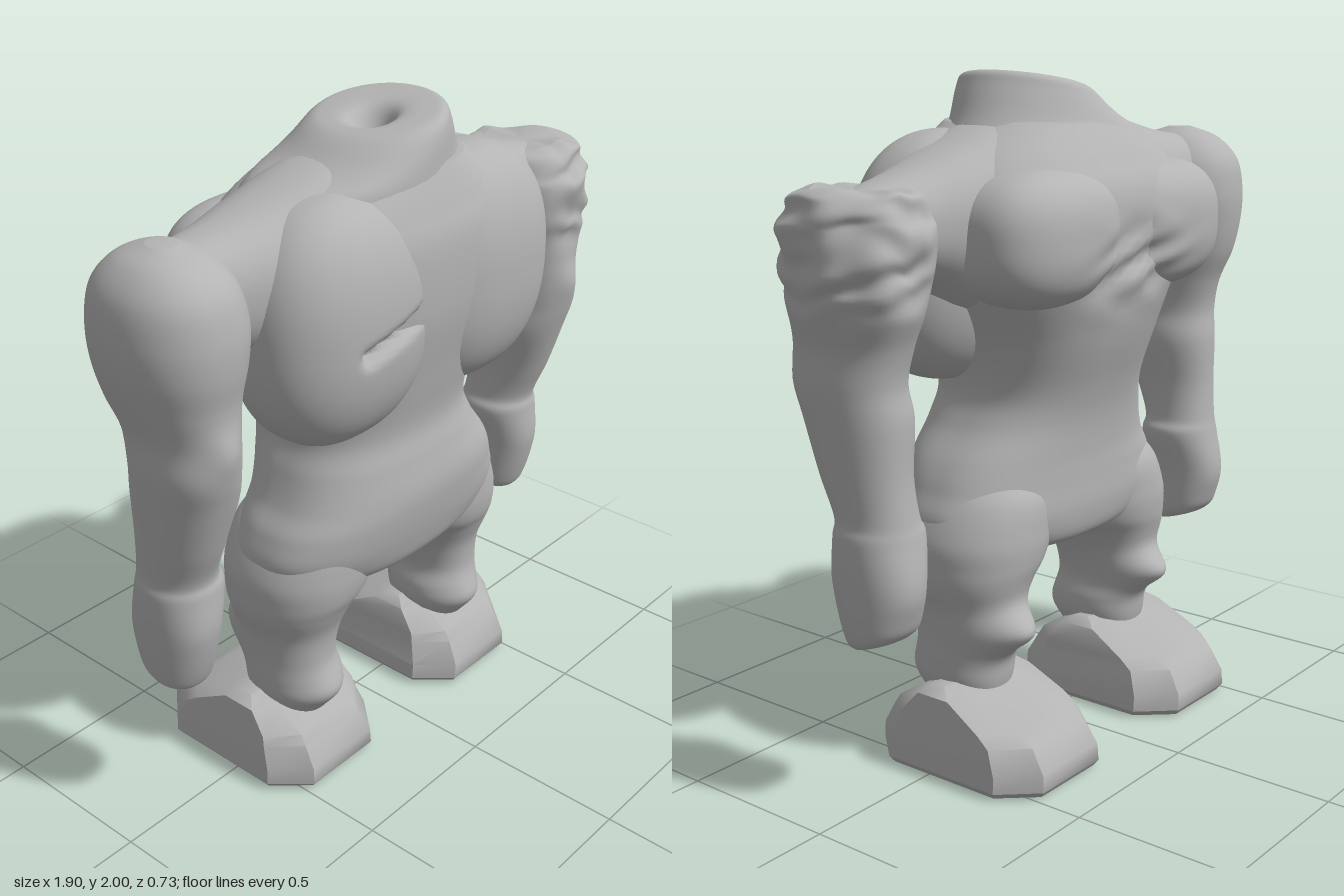
import * as THREE from 'three';
import { mergeVertices, toCreasedNormals } from 'three/addons/utils/BufferGeometryUtils.js';

const stone = new THREE.MeshStandardMaterial({ color: 0xb4b4b4 });
stone.name = 'grey stone';

// unit outline of a rounded-square cross-section
function roundRing(count, n) {
  return Array.from({ length: count }, (_, i) => {
    const a = (i / count) * Math.PI * 2, c = Math.cos(a), s = Math.sin(a);
    return [Math.sign(c) * Math.abs(c) ** (2 / n), Math.sign(s) * Math.abs(s) ** (2 / n)];
  });
}

// smooth interpolation between section rows
function refine(rows, steps) {
  const out = [];
  for (let i = 0; i < rows.length - 1; i++) {
    const [p, a, b, q] = [rows[Math.max(i - 1, 0)], rows[i], rows[i + 1], rows[Math.min(i + 2, rows.length - 1)]];
    for (let k = 0; k < steps; k++) {
      const t = k / steps;
      out.push(a.map((v, j) => {
        const m0 = (b[j] - p[j]) / 2, m1 = (q[j] - v) / 2;
        return v + m0 * t + (3 * (b[j] - v) - 2 * m0 - m1) * t * t + (2 * (v - b[j]) + m0 + m1) * t * t * t;
      }));
    }
  }
  out.push(rows[rows.length - 1]);
  return out;
}

// closed skin over sections [height, x0, x1, z0, z1]
function loft(rows, { steps = 5, ring = roundRing(48, 2.3), alongX = false } = {}) {
  const pos = [], idx = [], n = ring.length, all = refine(rows, steps);
  const put = (a, t, b) => (alongX ? pos.push(t, b, a) : pos.push(a, t, b));
  for (const [t, x0, x1, z0, z1] of all)
    for (const [c, s] of ring) put((x0 + x1) / 2 + (c * (x1 - x0)) / 2, t, (z0 + z1) / 2 + (s * (z1 - z0)) / 2);
  for (const [t, x0, x1, z0, z1] of [all[0], all[all.length - 1]]) put((x0 + x1) / 2, t, (z0 + z1) / 2);
  const last = (all.length - 1) * n, c0 = all.length * n;
  for (let j = 0; j < n; j++) {
    const k = (j + 1) % n;
    for (let i = 0; i < last; i += n) idx.push(i + j, i + n + j, i + k, i + k, i + n + j, i + n + k);
    idx.push(c0, j, k, c0 + 1, last + k, last + j);
  }
  const g = new THREE.BufferGeometry();
  g.setAttribute('position', new THREE.Float32BufferAttribute(pos, 3));
  g.setIndex(idx);
  g.computeVertexNormals();
  return g;
}

// superellipsoid lump
function blob(center, radii, n, detail) {
  let g = new THREE.SphereGeometry(1, detail, Math.round(detail * 0.7));
  g.deleteAttribute('uv');
  g.deleteAttribute('normal');
  g = mergeVertices(g);
  const c = new THREE.Vector3(...center), r = new THREE.Vector3(...radii);
  return reshape(g, (v) => {
    const k = (Math.abs(v.x) ** n + Math.abs(v.y) ** n + Math.abs(v.z) ** n) ** (-1 / n);
    v.multiplyScalar(k).multiply(r).add(c);
  });
}

// move every vertex by a rule
function reshape(g, rule) {
  const p = g.attributes.position, v = new THREE.Vector3();
  for (let i = 0; i < p.count; i++) {
    rule(v.fromBufferAttribute(p, i));
    p.setXYZ(i, v.x, v.y, v.z);
  }
  g.computeVertexNormals();
  return g;
}

const step = THREE.MathUtils.smoothstep;
const bell = (d, w) => Math.exp(-((d / w) ** 2));
const rough = (x, y, z) => Math.sin(x * 21 + 2 * Math.sin(y * 17)) * Math.sin(y * 37 + 2 * Math.sin(z * 15)) + 0.4 * Math.sin(z * 33 + x * 19);
const mirrorRow = (side) => ([t, a, b, c, d]) => (side > 0 ? [t, a, b, c, d] : [t, -b, -a, c, d]);

export function createModel() {
  const model = new THREE.Group();
  model.name = 'headlessFigure';
  const add = (name, geometry) => {
    const m = new THREE.Mesh(geometry, stone);
    m.name = name;
    model.add(m);
  };

  // broken, stepped patch on the -z side
  const breakPatch = (v) => {
    if (v.z > -0.1) return;
    const w = bell(v.x + 0.02, 0.17) * bell(v.y - 1.46, 0.1);
    v.z += w * (0.02 + 0.03 * rough(v.x, v.y, 0));
  };

  // torso from crotch to collar
  add('torso', reshape(loft([
    [0.605, -0.18, 0.18, -0.12, 0.2], [0.64, -0.38, 0.38, -0.17, 0.26], [0.72, -0.49, 0.49, -0.19, 0.29],
    [0.82, -0.47, 0.46, -0.19, 0.31], [0.9, -0.42, 0.42, -0.19, 0.315], [1, -0.38, 0.35, -0.2, 0.3],
    [1.1, -0.35, 0.32, -0.225, 0.285], [1.25, -0.38, 0.36, -0.275, 0.31], [1.45, -0.46, 0.46, -0.325, 0.345],
    [1.65, -0.48, 0.48, -0.32, 0.345], [1.76, -0.42, 0.42, -0.265, 0.315], [1.86, -0.24, 0.26, -0.19, 0.275],
  ], { steps: 8, ring: roundRing(96, 2.5) }), breakPatch));

  // shoulder yoke running across
  add('shoulderYoke', loft([
    [-0.78, -0.08, 0.14, 1.5, 1.78], [-0.6, -0.12, 0.19, 1.45, 1.8], [-0.42, -0.18, 0.25, 1.35, 1.835],
    [-0.2, -0.2, 0.28, 1.3, 1.89], [0, -0.2, 0.28, 1.3, 1.89], [0.22, -0.2, 0.28, 1.3, 1.87],
    [0.42, -0.18, 0.25, 1.35, 1.805], [0.6, -0.12, 0.18, 1.45, 1.745], [0.82, -0.07, 0.14, 1.5, 1.69],
  ], { alongX: true }));

  // slanted neck stump with a socket
  add('neck', reshape(loft([
    [1.74, -0.46, 0.4, -0.26, 0.29], [1.84, -0.37, 0.29, -0.205, 0.285], [1.92, -0.24, 0.23, -0.165, 0.275],
    [1.96, -0.165, 0.205, -0.14, 0.255], [1.97, -0.12, 0.17, -0.1, 0.215], [1.962, -0.08, 0.08, -0.01, 0.135],
    [1.9, -0.04, 0.04, 0.03, 0.1],
  ], { ring: roundRing(48, 2) }), (v) => { v.y += 0.19 * (v.x - 0.02) * step(v.y, 1.8, 1.95); }));

  // gash across one front chest lobe
  const a = new THREE.Vector2(-0.35, 1.44), ab = new THREE.Vector2(0.24, 0.05);
  const gash = (v) => {
    if (v.z < 0.2) return;
    const d = new THREE.Vector2(v.x, v.y).sub(a);
    const t = THREE.MathUtils.clamp(d.dot(ab) / ab.lengthSq(), 0, 1);
    v.z -= 0.04 * bell(d.addScaledVector(ab, -t).length(), 0.02);
  };

  // chipped outer shoulder of the damaged arm
  const chip = (v) => {
    const w = step(v.y, 1.36, 1.48) * step(v.x, 0.62, 0.78);
    const k = 1 - w * (0.05 + 0.07 * rough(v.x, v.y, v.z));
    v.x = Math.min(0.76 + (v.x - 0.76) * k, 0.948);
    v.z = 0.035 + (v.z - 0.035) * k;
    v.y += w * 0.01 * rough(v.z, v.x, v.y);
  };

  for (const side of [1, -1]) {
    const label = side > 0 ? 'left' : 'right';
    add(label + 'FrontChest', reshape(blob([side * 0.275, 1.48, 0.15], [0.315, 0.36, 0.215], 2.35, 112), gash));

    // arm from fist to shoulder, with a slight elbow swelling
    const tops = side > 0
      ? [[1.64, 0.58, 0.94, -0.165, 0.23], [1.695, 0.6, 0.925, -0.145, 0.21], [1.71, 0.65, 0.87, -0.09, 0.16]]
      : [[1.7, 0.6, 0.93, -0.165, 0.225], [1.77, 0.655, 0.875, -0.1, 0.16], [1.805, 0.73, 0.8, -0.01, 0.07]];
    const arm = loft([
      [0.475, 0.68, 0.835, -0.09, 0.05], [0.51, 0.66, 0.855, -0.125, 0.08], [0.65, 0.65, 0.865, -0.15, 0.125],
      [0.78, 0.625, 0.865, -0.13, 0.12], [0.835, 0.645, 0.855, -0.12, 0.115], [0.95, 0.65, 0.865, -0.11, 0.16],
      [1.1, 0.63, 0.88, -0.11, 0.21], [1.2, 0.64, 0.89, -0.1, 0.235], [1.3, 0.63, 0.89, -0.12, 0.23],
      [1.4, 0.61, 0.92, -0.16, 0.235], [1.5, 0.585, 0.945, -0.18, 0.25], [1.6, 0.575, 0.95, -0.185, 0.25], ...tops,
    ].map(mirrorRow(side)), { steps: 8, ring: roundRing(64, 2.2) });
    add(label + 'Arm', reshape(arm, (v) => {
      v.y -= 0.3 * v.z * (1 - step(v.y, 0.5, 0.65));
      if (v.z > 0.05) v.z += 0.02 * bell(v.y - 1.28, 0.06) * bell(Math.abs(v.x) - 0.765, 0.06);
      if (side > 0) chip(v);
    }));

    // low, boxy lobe on the -z side of the chest
    add(label + 'BackLobe', reshape(blob([side * 0.255, 1.55, -0.17], [0.275, 0.195, 0.18], 2.6, 80), breakPatch));

    // leg with a heel swelling at +z and a knee at -z
    const leg = loft([
      [0.18, 0.25, 0.44, -0.09, 0.15], [0.25, 0.215, 0.47, -0.105, 0.18], [0.31, 0.21, 0.475, -0.11, 0.18],
      [0.38, 0.225, 0.475, -0.12, 0.18], [0.47, 0.2, 0.485, -0.14, 0.19], [0.55, 0.16, 0.51, -0.165, 0.22],
      [0.61, 0.11, 0.517, -0.18, 0.245], [0.69, 0.08, 0.512, -0.185, 0.255], [0.8, 0.08, 0.46, -0.17, 0.25], [0.88, 0.15, 0.38, -0.1, 0.2],
    ].map(mirrorRow(side)), { steps: 8, ring: roundRing(64, 2.2) });
    add(label + 'Leg', reshape(leg, (v) => {
      const across = bell(Math.abs(v.x) - 0.34, 0.11);
      if (v.z > 0.04) v.z += 0.03 * across * bell(v.y - 0.27, 0.065);
      else v.z -= 0.085 * across * bell(v.y - 0.41, 0.06);
    }));

    // wedge foot with clipped corners
    const octagon = [[1, 0.65], [0.58, 1], [-0.58, 1], [-1, 0.65], [-1, -0.65], [-0.58, -1], [0.58, -1], [1, -0.65]];
    const foot = loft([
      [0, 0.135, 0.56, -0.345, 0.235], [0.02, 0.12, 0.575, -0.36, 0.25], [0.07, 0.125, 0.572, -0.358, 0.248],
      [0.14, 0.145, 0.56, -0.315, 0.21], [0.17, 0.15, 0.555, -0.26, 0.19], [0.235, 0.165, 0.543, -0.09, 0.085],
      [0.26, 0.195, 0.51, -0.03, 0.03],
    ].map(mirrorRow(side)), { steps: 1, ring: octagon });
    add(label + 'Foot', toCreasedNormals(foot, 0.7));
  }
  return model;
}
